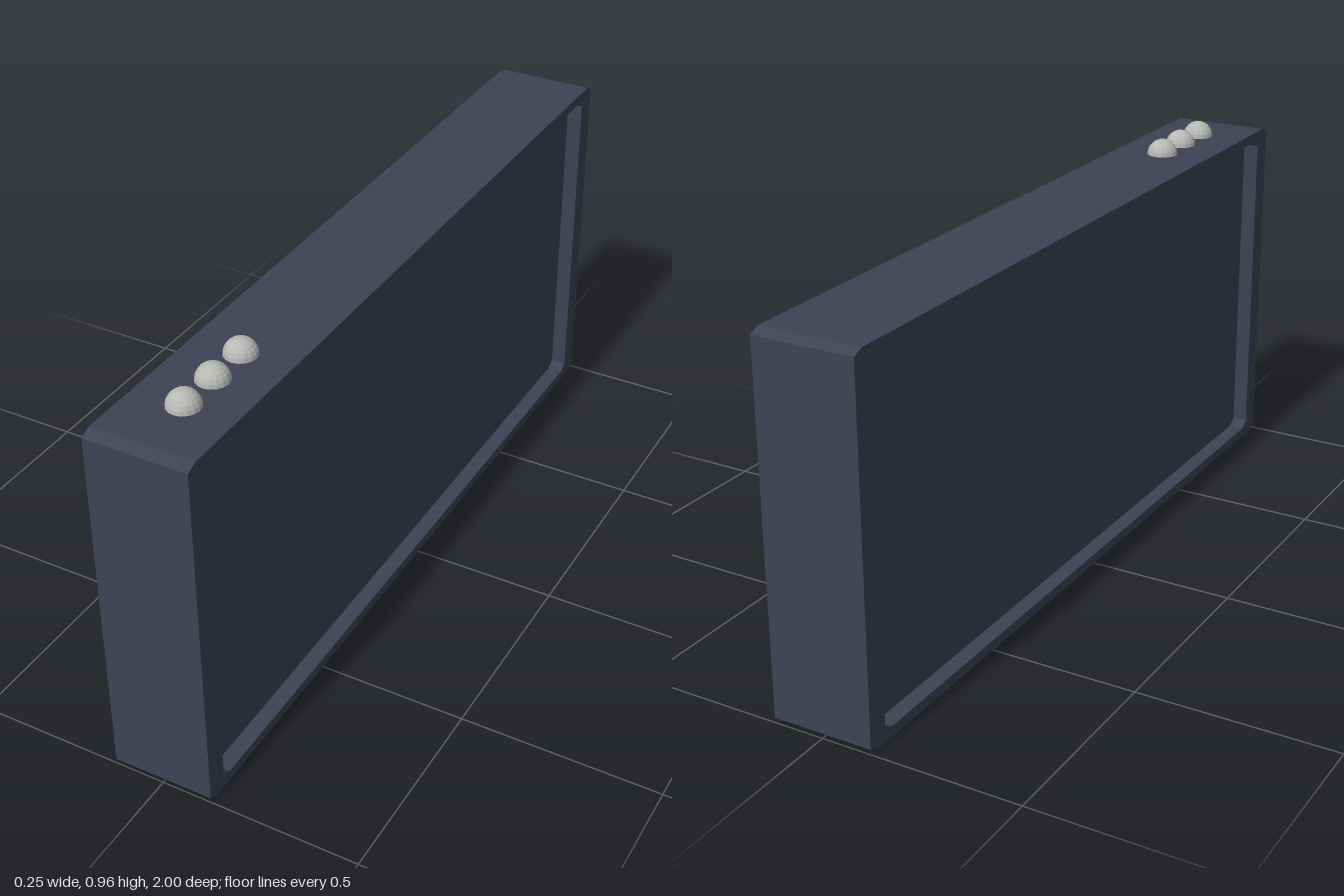
import * as THREE from 'three';

const HALF_WIDTH = 0.127, HEIGHT = 0.92, RECESS = 0.04;

// Rectangle with cut corners: half length l, from y0 to y1, cut a along and b up
function cutRectangle(PathType, l, y0, y1, a, b) {
  return new PathType([
    [-l + a, y0], [l - a, y0], [l, y0 + b], [l, y1 - b],
    [l - a, y1], [-l + a, y1], [-l, y1 - b], [-l, y0 + b],
  ].map(([x, y]) => new THREE.Vector2(x, y)));
}

// Extrude a side outline across the width, starting at x
function slab(name, shape, x, width, material) {
  const geometry = new THREE.ExtrudeGeometry(shape, { depth: width, bevelEnabled: false });
  geometry.rotateY(Math.PI / 2).translate(x, 0, 0);
  const mesh = new THREE.Mesh(geometry, material);
  mesh.name = name;
  return mesh;
}

export function createModel() {
  const model = new THREE.Group();
  model.name = 'slimCase';
  const caseMaterial = new THREE.MeshStandardMaterial({ color: 0x3e4254 });
  caseMaterial.name = 'slate blue';
  caseMaterial.flatShading = true;
  const knobMaterial = new THREE.MeshStandardMaterial({ color: 0xb8b8b5 });
  knobMaterial.name = 'light grey';
  knobMaterial.flatShading = true;

  // Core slab whose sides are the sunken panels
  const outline = () => cutRectangle(THREE.Shape, 1, 0, HEIGHT, 0.027, 0.012);
  const inner = HALF_WIDTH - RECESS;
  model.add(slab('core', outline(), -inner, inner * 2, caseMaterial));

  // Raised frame around the panel on each side
  const frame = outline();
  frame.holes.push(cutRectangle(THREE.Path, 0.944, 0.026, HEIGHT - 0.026, 0.024, 0.016));
  model.add(slab('leftFrame', frame, inner, RECESS, caseMaterial));
  model.add(slab('rightFrame', frame, -HALF_WIDTH, RECESS, caseMaterial));

  // Three round buttons half sunk into the top
  const knob = new THREE.SphereGeometry(0.04, 16, 12);
  [0.82, 0.71, 0.6].forEach((z, i) => {
    const mesh = new THREE.Mesh(knob, knobMaterial);
    mesh.name = `topButton${i + 1}`;
    mesh.position.set(0, HEIGHT, z);
    model.add(mesh);
  });
  return model;
}
